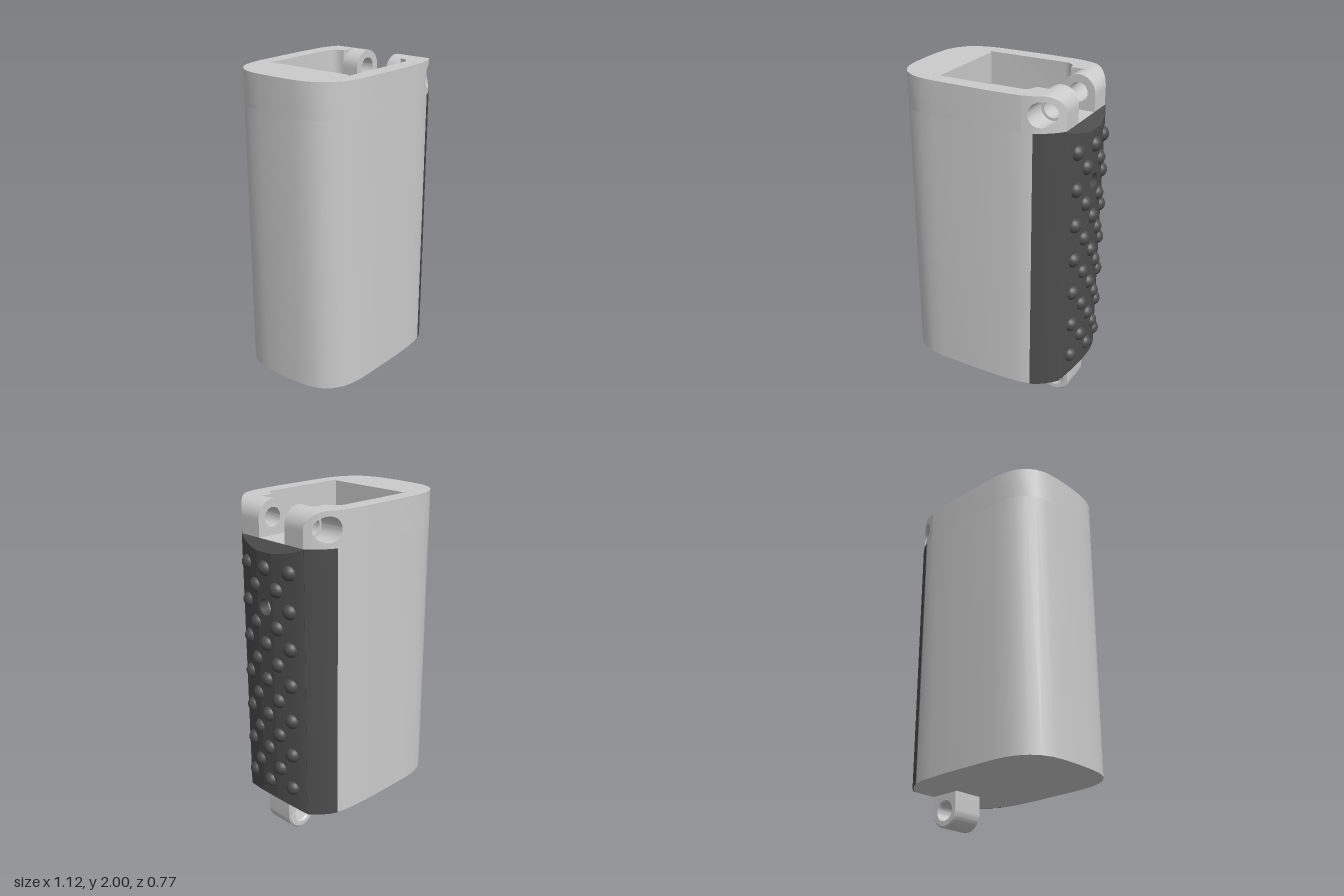
import * as THREE from 'three';
import { toCreasedNormals } from 'three/addons/utils/BufferGeometryUtils.js';

const grey = new THREE.MeshStandardMaterial({ color: 0xcccccc });
const dark = new THREE.MeshStandardMaterial({ color: 0x4c4c4c });

// Half outline of the case seen from above: [x, z]
const HALF = [[-0.56, 0], [-0.556, 0.12], [-0.545, 0.2], [-0.52, 0.26], [-0.48, 0.31], [-0.42, 0.35],
  [-0.36, 0.368], [-0.28, 0.379], [0.05, 0.385], [0.2, 0.381], [0.27, 0.375], [0.33, 0.36],
  [0.37, 0.341], [0.41, 0.313], [0.44, 0.285], [0.47, 0.25]];
const FRONT_X = 0.47, COVER_X = 0.53;
const HINGE_X = 0.37, HINGE_R = 0.1;

// Half width of the case at x
function widthAt(x) {
  for (let i = 1; i < HALF.length; i++) {
    const [x0, z0] = HALF[i - 1], [x1, z1] = HALF[i];
    if (x <= x1) return z0 + (z1 - z0) * (x - x0) / (x1 - x0);
  }
  return HALF[HALF.length - 1][1];
}

const mirrored = (pts) => [...pts, ...pts.map(([x, z]) => [x, -z]).reverse()];
const toShape = (pts) => new THREE.Shape(pts.map(([a, b]) => new THREE.Vector2(a, b)));

function circlePath(x, y, r) {
  const p = new THREE.Path();
  p.absarc(x, y, r, 0, Math.PI * 2, true);
  return p;
}

// Vertical prism over a plan of [x, z] points
function prism(pts, y0, y1) {
  const g = new THREE.ExtrudeGeometry(toShape(pts), { depth: y1 - y0, bevelEnabled: false });
  return g.rotateX(-Math.PI / 2).translate(0, y0, 0);
}

// Slopes the ends of the cover back towards its outer face
function chamferEnds(g) {
  const p = g.attributes.position;
  for (let i = 0; i < p.count; i++) {
    const trim = Math.max(0, p.getX(i) - FRONT_X) * 0.83;
    p.setY(i, THREE.MathUtils.clamp(p.getY(i), 0.2 + trim, 1.8 - trim));
  }
  return g;
}

// Hinge lug: rings around the pin axis, from the inner face to the contoured, counterbored outer face
function lugGeometry() {
  const N = 48, bore = 0.055, counter = 0.07, zIn = 0.105, zStep = 0.21;
  const square = (t) => HINGE_R / Math.max(Math.abs(Math.cos(t)), Math.abs(Math.sin(t)));
  const knuckle = (t) => (t <= Math.PI ? HINGE_R : square(t));
  const shoulder = (t) => (t <= Math.PI / 2 ? HINGE_R : square(t));
  const rings = [
    [() => bore, zIn], [knuckle, zIn], [knuckle, zStep], [shoulder, zStep],
  ];
  for (let k = 0; k <= 6; k++)
    rings.push([(t) => THREE.MathUtils.lerp(shoulder(t), counter, k / 6), null]);
  rings.push([() => counter, zStep], [() => bore, zStep], [() => bore, zIn]);
  const pos = [], idx = [];
  rings.forEach(([radius, z], i) => {
    for (let j = 0; j < N; j++) {
      const t = (j / N) * Math.PI * 2, r = radius(t);
      const x = HINGE_X + r * Math.cos(t);
      pos.push(x, 1.9 + r * Math.sin(t), z === null ? widthAt(x) : z);
      if (i === rings.length - 1) continue;
      const a = i * N + j, b = i * N + (j + 1) % N;
      idx.push(a, b, b + N, a, b + N, a + N);
    }
  });
  const g = new THREE.BufferGeometry();
  g.setAttribute('position', new THREE.Float32BufferAttribute(pos, 3));
  g.setIndex(idx);
  return g;
}

export function createModel() {
  const model = new THREE.Group();
  function add(name, geometry, material = grey, crease = 0.5) {
    const mesh = new THREE.Mesh(toCreasedNormals(geometry, crease), material);
    mesh.name = name;
    model.add(mesh);
    return mesh;
  }

  // Main case
  add('caseBody', prism(mirrored(HALF), 0.2, 1.8));

  // Raised rim around the recess in the top, open between the hinge lugs
  const recess = [];
  for (let k = 0; k <= 6; k++) {
    const a = (k / 6) * Math.PI / 2;
    recess.push([0.2 + 0.07 * Math.cos(a), 0.215 + 0.07 * Math.sin(a)]);
  }
  recess.push([-0.3, 0.285], [-0.28, 0.265]);
  const outer = mirrored(HALF.filter(([x]) => x <= 0.27).slice(1));
  outer.splice(outer.length / 2 - 0, 0);
  // Walk round the outside from the left lug to the right one, then back along the recess
  const left = HALF.filter(([x]) => x <= 0.27);
  const outside = [...left.slice().reverse(), ...left.slice(1).map(([x, z]) => [x, -z])];
  const inside = [...recess.map(([x, z]) => [x, -z]), ...recess.slice().reverse()];
  add('topRim', prism([...outside, ...inside], 1.8, 2));

  // Hinge lugs
  add('leftHingeLug', lugGeometry());
  add('rightHingeLug', lugGeometry()).scale.z = -1;

  // Bottom hinge tab
  const bevel = 0.01, r = HINGE_R - bevel;
  const tab = new THREE.Shape();
  tab.moveTo(HINGE_X + r, 0.21);
  tab.lineTo(HINGE_X - r, 0.21);
  tab.lineTo(HINGE_X - r, 0.1);
  tab.absarc(HINGE_X, 0.1, r, Math.PI, Math.PI * 2, false);
  tab.holes.push(circlePath(HINGE_X, 0.1, 0.062));
  add('bottomHingeTab', new THREE.ExtrudeGeometry(tab, {
    depth: 0.18, bevelThickness: bevel, bevelSize: bevel, bevelSegments: 1, curveSegments: 20,
  }).translate(0, 0, -0.09));

  // Grip cover: thin side skins and the bulging front, mirrored
  const skin = HALF.filter(([x]) => x >= 0.33);
  const bulge = [[FRONT_X, 0.06], [COVER_X, 0.06], [0.523, 0.1], [0.511, 0.15], [0.496, 0.2],
    [0.482, 0.235], [FRONT_X, 0.255]];
  const lifted = skin.map(([x, z]) => [x + 0.001, z + 0.005]).reverse();
  for (const side of [1, -1]) {
    const name = side > 0 ? 'left' : 'right';
    const flip = (pts) => pts.map(([x, z]) => [x, z * side]);
    add(name + 'CoverSkin', prism(flip([...skin, ...lifted]), 0.2, 1.8), dark);
    add(name + 'CoverBulge', chamferEnds(prism(flip(bulge), 0.2, 1.8)), dark);
  }

  // Middle strip of the cover with its round opening
  const strip = toShape([[-0.06, 0.2], [0.06, 0.2], [0.06, 1.8], [-0.06, 1.8]]);
  strip.holes.push(circlePath(0, 1.44, 0.047));
  const stripGeo = new THREE.ExtrudeGeometry(strip, {
    depth: COVER_X - FRONT_X, bevelEnabled: false, curveSegments: 16,
  }).rotateY(Math.PI / 2).translate(FRONT_X, 0, 0);
  add('coverStrip', chamferEnds(stripGeo), dark);

  // Grip bumps in staggered rows of three and two
  const ROWS = 13;
  for (let row = 0; row < ROWS; row++) {
    const y = 1.66 - row * 0.1088;
    const places = row % 2 ? [-0.083, 0.083] : [-0.165, 0, 0.165];
    for (const z of places) {
      if (row === 2 && z === 0) continue; // the opening sits here
      const x = COVER_X - 0.9 * z * z - 0.014;
      add('gripBump', new THREE.SphereGeometry(0.046, 18, 12).translate(x, y, z), dark, 1);
    }
  }
  return model;
}
